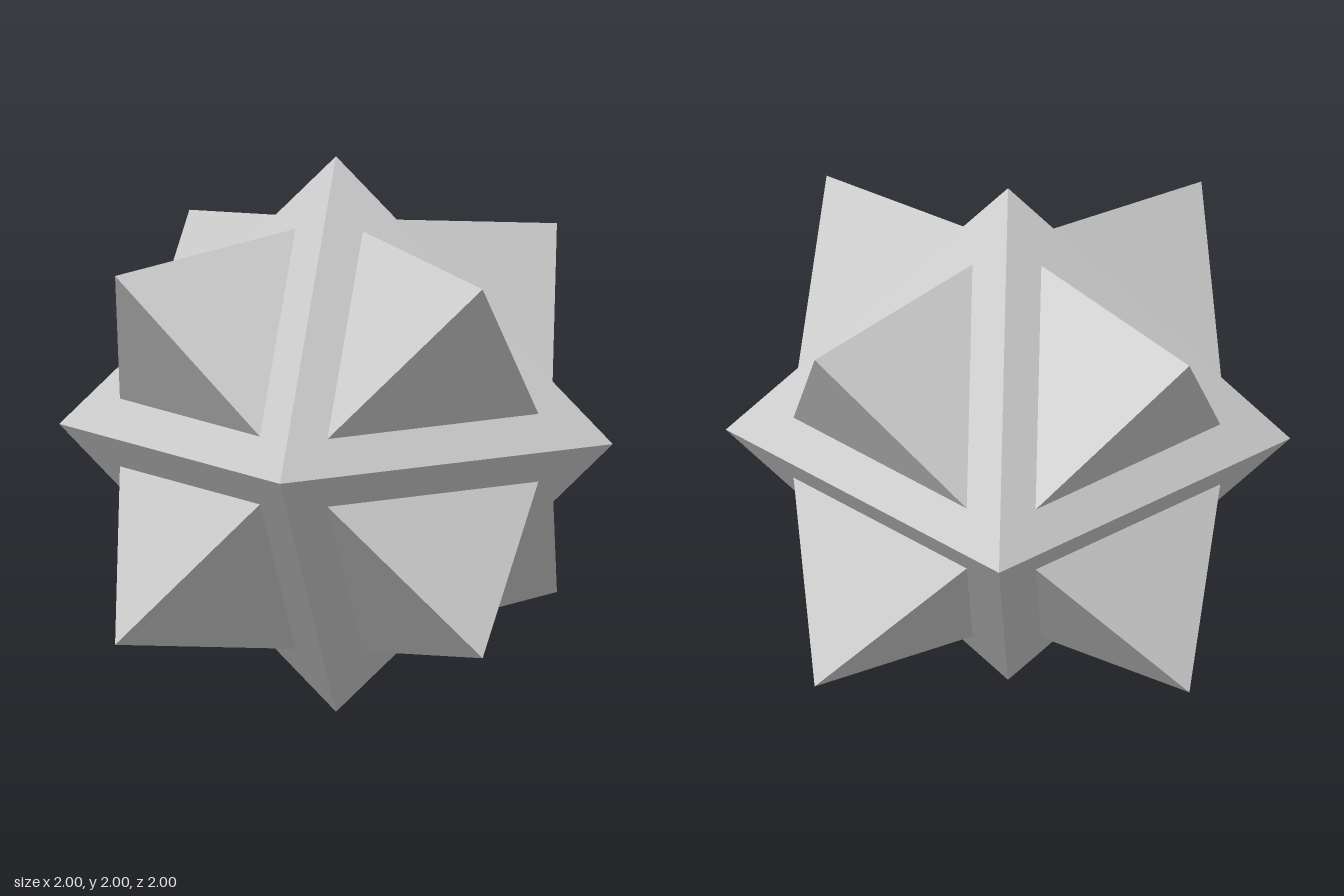
import * as THREE from 'three';
import { ConvexGeometry } from 'three/addons/geometries/ConvexGeometry.js';

export function createModel() {
  const group = new THREE.Group();
  group.name = 'spikedOctahedron';
  const material = new THREE.MeshStandardMaterial({ color: 0xcccccc, flatShading: true });

  // Central octahedron
  const core = new THREE.Mesh(new THREE.OctahedronGeometry(1), material);
  core.name = 'core';
  core.position.y = 1;
  group.add(core);

  // One three-sided spike per octahedron face; base corners lie on that face
  const near = 0.122, far = 0.756, tip = 0.664;
  const corners = [[far, near, near], [near, far, near], [near, near, far], [tip, tip, tip]];
  for (const sx of [1, -1]) for (const sy of [1, -1]) for (const sz of [1, -1]) {
    const points = corners.map(([x, y, z]) => new THREE.Vector3(x * sx, y * sy, z * sz));
    const spike = new THREE.Mesh(new ConvexGeometry(points), material);
    spike.name = `${sy > 0 ? 'upper' : 'lower'}${sz > 0 ? 'Front' : 'Back'}${sx > 0 ? 'Left' : 'Right'}Spike`;
    spike.position.y = 1;
    group.add(spike);
  }
  return group;
}
